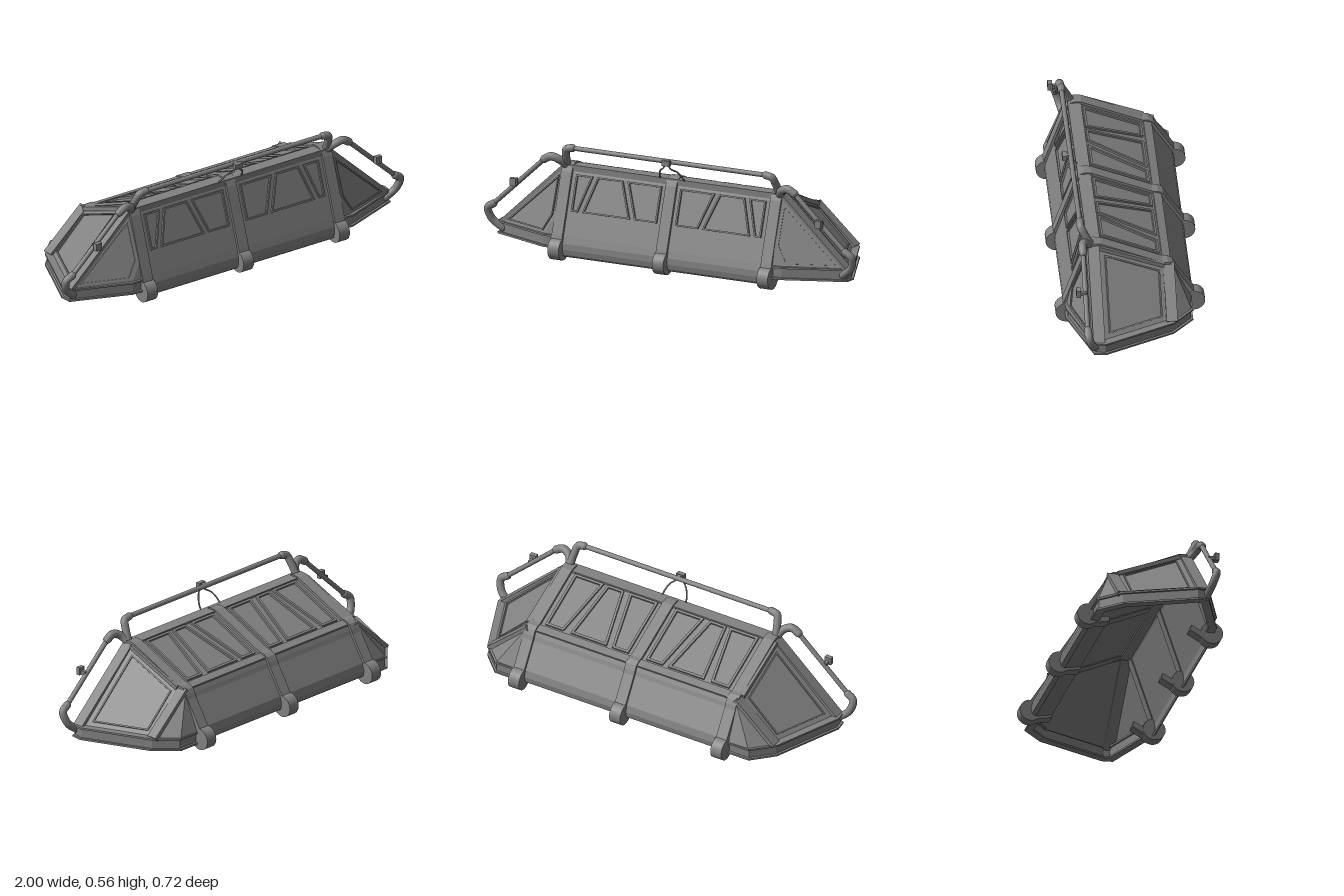
import * as THREE from 'three';

const V = (x, y, z) => new THREE.Vector3(x, y, z);
const material = new THREE.MeshStandardMaterial({ color: 0x828282, side: THREE.DoubleSide });

// Offsets a counter-clockwise closed polygon inwards by d (outwards if negative).
function inset(pts, d) {
  const n = pts.length;
  return pts.map(([x, y], i) => {
    const [ax, ay] = pts[(i + n - 1) % n], [bx, by] = pts[(i + 1) % n];
    const l1 = Math.hypot(x - ax, y - ay), l2 = Math.hypot(bx - x, by - y);
    const n1 = [-(y - ay) / l1, (x - ax) / l1], n2 = [-(by - y) / l2, (bx - x) / l2];
    const k = d / Math.max(0.2, 1 + n1[0] * n2[0] + n1[1] * n2[1]);
    return [x + (n1[0] + n2[0]) * k, y + (n1[1] + n2[1]) * k];
  });
}
const shapeOf = pts => new THREE.Shape(pts.map(p => new THREE.Vector2(...p)));
const extrude = (shape, depth) =>
  new THREE.ExtrudeGeometry(shape, { depth, bevelEnabled: false });

// An open strip of thickness t lying inside a polygon outline.
const stripShape = (pts, t) => shapeOf([...pts, ...inset(pts, t).reverse()]);

export function createModel() {
  const model = new THREE.Group();
  const add = (name, geometry) => {
    const mesh = new THREE.Mesh(geometry, material);
    mesh.name = name;
    model.add(mesh);
  };

  // Extrudes a (z, y) section along x, centred on x.
  const section = (name, shape, x, width) => {
    const g = extrude(shape, width).translate(0, 0, -width / 2);
    g.applyMatrix4(new THREE.Matrix4().makeBasis(V(0, 0, 1), V(0, 1, 0), V(-1, 0, 0)));
    add(name, g.translate(x, 0, 0));
  };

  // Flat plate through 3D corners; with a border width it becomes a raised frame.
  const plate = (name, corners, sx, thick, lift = 0, margin = 0, border = 0) => {
    const p = corners.map(([x, y, z]) => V(x * sx, y, z));
    if (sx < 0) p.reverse();
    const u = p[1].clone().sub(p[0]).normalize();
    const w = u.clone().cross(p[2].clone().sub(p[0])).normalize();
    const v = w.clone().cross(u);
    const flat = p.map(q => q.clone().sub(p[0])).map(q => [q.dot(u), q.dot(v)]);
    const outer = margin ? inset(flat, margin) : flat;
    const shape = shapeOf(outer);
    if (border) shape.holes.push(shapeOf(inset(outer, border)));
    const g = extrude(shape, thick).translate(0, 0, lift);
    add(name, g.applyMatrix4(new THREE.Matrix4().makeBasis(u, v, w).setPosition(p[0])));
  };

  const tube = (name, pts, r, sx = 1, segs = 24) => add(name, new THREE.TubeGeometry(
    new THREE.CatmullRomCurve3(pts.map(([x, y, z]) => V(x * sx, y, z))), segs, r, 12));

  const ball = (name, [x, y, z], r, sx) =>
    add(name, new THREE.SphereGeometry(r, 12, 8).translate(x * sx, y, z));

  // Rectangular beam from a to b; h runs along z, t across it.
  const beam = (name, a, b, t, h, sx) => {
    const p = V(a[0] * sx, a[1], a[2]), q = V(b[0] * sx, b[1], b[2]);
    const d = q.clone().sub(p), len = d.length();
    d.normalize();
    const side = V(0, 0, 1).addScaledVector(d, -d.z).normalize();
    const m = new THREE.Matrix4().makeBasis(d, side.clone().cross(d), side);
    m.setPosition(p.add(q).multiplyScalar(0.5));
    add(name, new THREE.BoxGeometry(len, t, h).applyMatrix4(m));
  };

  // Hollow middle shell, open underneath; only the ribs turn under at the front
  const profile = [
    [0.2, 0.073], [0.265, 0.037], [0.282, 0.021], [0.3, 0.017], [0.313, 0.03], [0.318, 0.055],
    [0.316, 0.085], [0.305, 0.12], [0.207, 0.41], [0.195, 0.435], [0.175, 0.443], [0.145, 0.44],
    [-0.15, 0.312], [-0.175, 0.31], [-0.193, 0.3], [-0.205, 0.28], [-0.214, 0.26], [-0.293, 0.135],
    [-0.303, 0.1], [-0.298, 0.07], [-0.28, 0.058], [-0.2, 0.073],
  ];
  section('bodyShell', stripShape(profile.slice(3), 0.01), 0, 1.14);

  // Ribs with round feet
  for (const x of [-0.562, 0, 0.562]) {
    section('rib', stripShape(inset(profile, -0.013), 0.028), x, 0.058);
    for (const [z, y, r] of [[0.305, 0.055, 0.055], [-0.304, 0.087, 0.054]]) {
      const g = new THREE.CylinderGeometry(r, r, 0.06, 32).rotateZ(Math.PI / 2);
      add('ribFoot', g.translate(x, y, z));
    }
  }

  // Beams along the roof's front and rear edges
  add('rearRoofBeam', new THREE.BoxGeometry(1.13, 0.014, 0.042).rotateX(-0.3).translate(0, 0.308, -0.174));
  add('frontRoofBeam', new THREE.BoxGeometry(1.13, 0.03, 0.064).translate(0, 0.433, 0.175));

  const onRoof = (x, z) => [x, 0.377 + 0.434 * z, z];
  const onFront = (x, y) => [x, y, 0.305 - (y - 0.12) * 0.338];
  // Pane limits: near edge from/to, far edge from/to
  const roofPanes = [[0.05, 0.205, 0.05, 0.14], [0.24, 0.33, 0.17, 0.37], [0.35, 0.51, 0.41, 0.51]];
  const frontPanes = [[0.05, 0.17, 0.05, 0.235], [0.195, 0.45, 0.26, 0.395], [0.475, 0.51, 0.42, 0.51]];

  // Base rail outline around each end, in (x, -z)
  const rail = [[0.56, -0.305], [0.64, -0.305], [0.93, -0.195], [0.935, -0.15],
    [0.795, 0.185], [0.7, 0.28], [0.56, 0.28]];

  for (const sx of [1, -1]) {
    for (const [a, b, c, d] of roofPanes) {
      const q = [onRoof(a, 0.14), onRoof(b, 0.14), onRoof(d, -0.142), onRoof(c, -0.142)];
      plate('roofWindowFrame', q, sx, 0.01, 0, 0, 0.012);
    }
    for (const [a, b, c, d] of frontPanes) {
      const q = [onFront(a, 0.235), onFront(b, 0.235), onFront(d, 0.405), onFront(c, 0.405)];
      plate('frontWindowFrame', q, sx, 0.01, 0, 0, 0.008);
    }

    // Base rail wall with an upper and a lower flange
    const level = (name, pts, t, y, h) => {
      const p = pts.map(([x, v]) => [x * sx, v]);
      if (sx < 0) p.reverse();
      const g = extrude(stripShape(p, t), h);
      g.applyMatrix4(new THREE.Matrix4().makeBasis(V(1, 0, 0), V(0, 0, -1), V(0, 1, 0)));
      add(name, g.translate(0, y, 0));
    };
    level('baseRail', rail, 0.02, 0.06, 0.056);
    level('lowerFlange', inset(rail, -0.011), 0.04, 0.056, 0.009);
    level('upperFlange', inset(rail, -0.011), 0.04, 0.111, 0.009);

    // Sloping end panel with a raised frame
    const end = [[0.59, 0.435, 0.155], [0.915, 0.115, 0.155], [0.782, 0.115, -0.165], [0.59, 0.305, -0.165]];
    plate('endPanel', end, sx, 0.01, -0.01);
    plate('endPanelFrame', end, sx, 0.007, 0, 0.029, 0.007);
    beam('endPanelTopEdge', [0.59, 0.435, 0.15], [0.59, 0.312, -0.16], 0.03, 0.02, sx);

    // Front corner panel, cut off at its lower inner corner
    const fTop = [0.585, 0.43, 0.205], fCut = [0.585, 0.21, 0.286], fMid = [0.64, 0.115, 0.302];
    const corner = [fTop, fCut, fMid, [0.925, 0.115, 0.2]];
    plate('frontCornerPanel', corner, sx, 0.01, -0.01);
    plate('frontCornerFrame', corner, sx, 0.006, 0, 0.018, 0.007);
    plate('frontCornerInfill', [fCut, [0.585, 0.115, 0.308], fMid], sx, 0.01, -0.01);

    // Rear corner panels
    const rTop = [0.585, 0.3, -0.205], rMid = [0.7, 0.115, -0.285];
    plate('rearCornerPanel', [rTop, [0.79, 0.115, -0.195], rMid], sx, 0.01, -0.01);
    plate('rearCornerInfill', [rTop, rMid, [0.585, 0.115, -0.29]], sx, 0.01, -0.01);

    // Sloping corner posts
    beam('frontPost', [0.57, 0.443, 0.178], [0.922, 0.11, 0.178], 0.028, 0.056, sx);
    beam('rearPost', [0.575, 0.308, -0.183], [0.788, 0.115, -0.183], 0.026, 0.054, sx);

    // Side guard bar: thick ends, thin middle
    const upper = [[0.57, 0.43, 0.185], [0.595, 0.47, 0.222], [0.635, 0.486, 0.235], [0.672, 0.468, 0.235]];
    const lower = [[0.945, 0.212, 0.235], [0.978, 0.187, 0.231], [0.965, 0.13, 0.213], [0.915, 0.086, 0.196]];
    tube('sideBarUpperElbow', upper, 0.02, sx);
    tube('sideBarLowerElbow', lower, 0.019, sx);
    tube('sideBar', [upper[3], lower[0]], 0.012, sx, 1);
    ball('sideBarUpperEnd', upper[3], 0.02, sx);
    ball('sideBarLowerEnd', lower[0], 0.019, sx);
    ball('sideBarFoot', lower[3], 0.019, sx);

    // Elbow of the top guard bar
    const elbow = [[0.572, 0.43, 0.185], [0.565, 0.49, 0.215], [0.552, 0.533, 0.236], [0.52, 0.542, 0.238]];
    tube('topBarElbow', elbow, 0.019, sx);
    ball('topBarEnd', elbow[3], 0.019, sx);

    // Lamp on the side bar
    add('sideLamp', new THREE.BoxGeometry(0.034, 0.038, 0.022).translate(0.82 * sx, 0.344, 0.269));
    add('sideLampMount', new THREE.BoxGeometry(0.016, 0.018, 0.03).translate(0.82 * sx, 0.338, 0.245));

    // Cable from the top lamp down to the roof
    tube('lampCable', [[0.005, 0.54, 0.262], [0.018, 0.515, 0.262], [0.045, 0.495, 0.24],
      [0.062, 0.46, 0.215], [0.064, 0.43, 0.19]], 0.004, sx);
  }

  // Top guard bar and its lamp
  tube('topBar', [[-0.52, 0.542, 0.238], [0.52, 0.542, 0.238]], 0.012, 1, 1);
  add('topLamp', new THREE.BoxGeometry(0.042, 0.026, 0.022).translate(0, 0.541, 0.268));
  add('topLampMount', new THREE.BoxGeometry(0.02, 0.02, 0.03).translate(0, 0.541, 0.25));

  return model;
}
